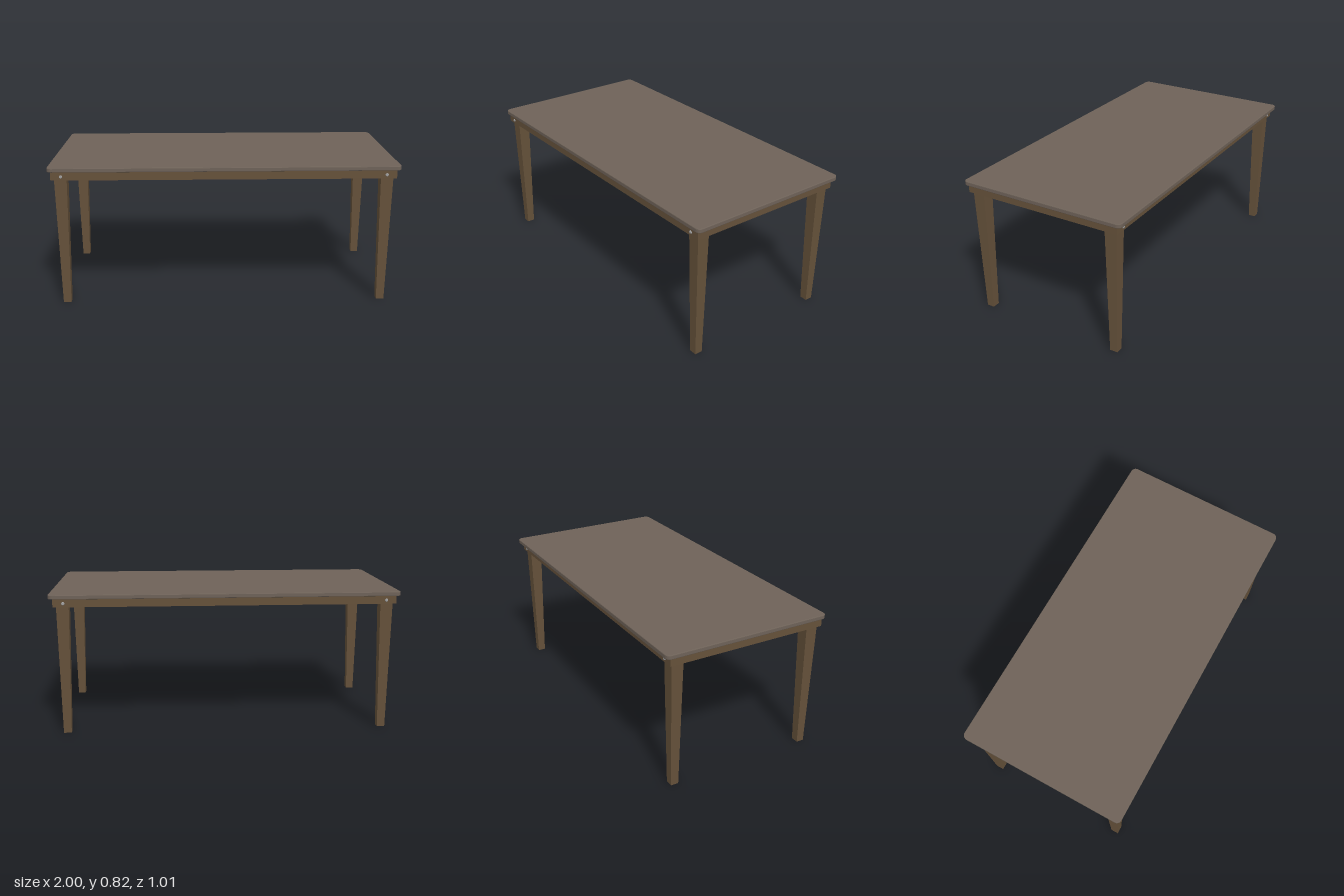
import * as THREE from 'three';

const wood = new THREE.MeshStandardMaterial({ color: 0x65513a });
const topWood = new THREE.MeshStandardMaterial({ color: 0x6e6258 });
const metal = new THREE.MeshStandardMaterial({ color: 0xa0a0a0 });

const APRON_BOTTOM = 0.746, TOP_BOTTOM = 0.795, TOP = 0.82;

function add(parent, name, geometry, material, x, y, z) {
  const mesh = new THREE.Mesh(geometry, material);
  mesh.name = name;
  mesh.position.set(x, y, z);
  parent.add(mesh);
  return mesh;
}

// Slab with rounded corners and a fine softened edge
function tabletopGeometry(hx, hz, r, bevel) {
  const x = hx - bevel, z = hz - bevel, s = new THREE.Shape();
  s.absarc(x - r, z - r, r, 0, Math.PI / 2);
  s.absarc(-x + r, z - r, r, Math.PI / 2, Math.PI);
  s.absarc(-x + r, -z + r, r, Math.PI, Math.PI * 1.5);
  s.absarc(x - r, -z + r, r, Math.PI * 1.5, Math.PI * 2);
  const g = new THREE.ExtrudeGeometry(s, {
    depth: TOP - TOP_BOTTOM - 2 * bevel, curveSegments: 8,
    bevelSize: bevel, bevelThickness: bevel, bevelSegments: 2,
  });
  return g.rotateX(-Math.PI / 2).translate(0, bevel, 0);
}

// Square leg, narrowing evenly toward the floor
function legGeometry() {
  const g = new THREE.BoxGeometry(1, TOP_BOTTOM, 1).translate(0, TOP_BOTTOM / 2, 0);
  const p = g.attributes.position;
  for (let i = 0; i < p.count; i++) {
    const width = p.getY(i) > 0.1 ? 0.073 : 0.045;
    p.setX(i, p.getX(i) * width);
    p.setZ(i, p.getZ(i) * width);
  }
  g.computeVertexNormals();
  return g;
}

export function createModel() {
  const table = new THREE.Group();
  table.name = 'table';
  add(table, 'tabletop', tabletopGeometry(1, 0.503, 0.025, 0.004), topWood, 0, TOP_BOTTOM, 0);

  // Frame and legs sit very slightly off the centre of the top
  const base = new THREE.Group();
  base.name = 'base';
  base.position.set(-0.002, 0, 0.007);
  table.add(base);

  // Apron rails wrapped around the outside of the legs
  const hx = 0.978, hz = 0.479, t = 0.018;
  const h = TOP_BOTTOM - APRON_BOTTOM, y = APRON_BOTTOM + h / 2;
  const longRail = new THREE.BoxGeometry(2 * hx, h, t);
  const endRail = new THREE.BoxGeometry(t, h, 2 * (hz - t));
  const leg = legGeometry();
  const bolt = new THREE.CylinderGeometry(0.007, 0.01, 0.006, 16).rotateX(Math.PI / 2);

  for (const sz of [-1, 1]) {
    const side = sz > 0 ? 'front' : 'back';
    add(base, side + 'Rail', longRail, wood, 0, y, sz * (hz - t / 2));
    for (const sx of [-1, 1]) {
      const corner = side + (sx > 0 ? 'Left' : 'Right');
      add(base, corner + 'Leg', leg, wood, sx * 0.925, 0, sz * 0.428);
      // Bolt heads on the long rails
      const b = add(base, corner + 'Bolt', bolt, metal, sx * 0.92, 0.767, sz * (hz + 0.002));
      if (sz < 0) b.rotation.y = Math.PI;
    }
  }
  for (const sx of [-1, 1]) {
    add(base, sx > 0 ? 'leftRail' : 'rightRail', endRail, wood, sx * (hx - t / 2), y, 0);
  }
  return table;
}
